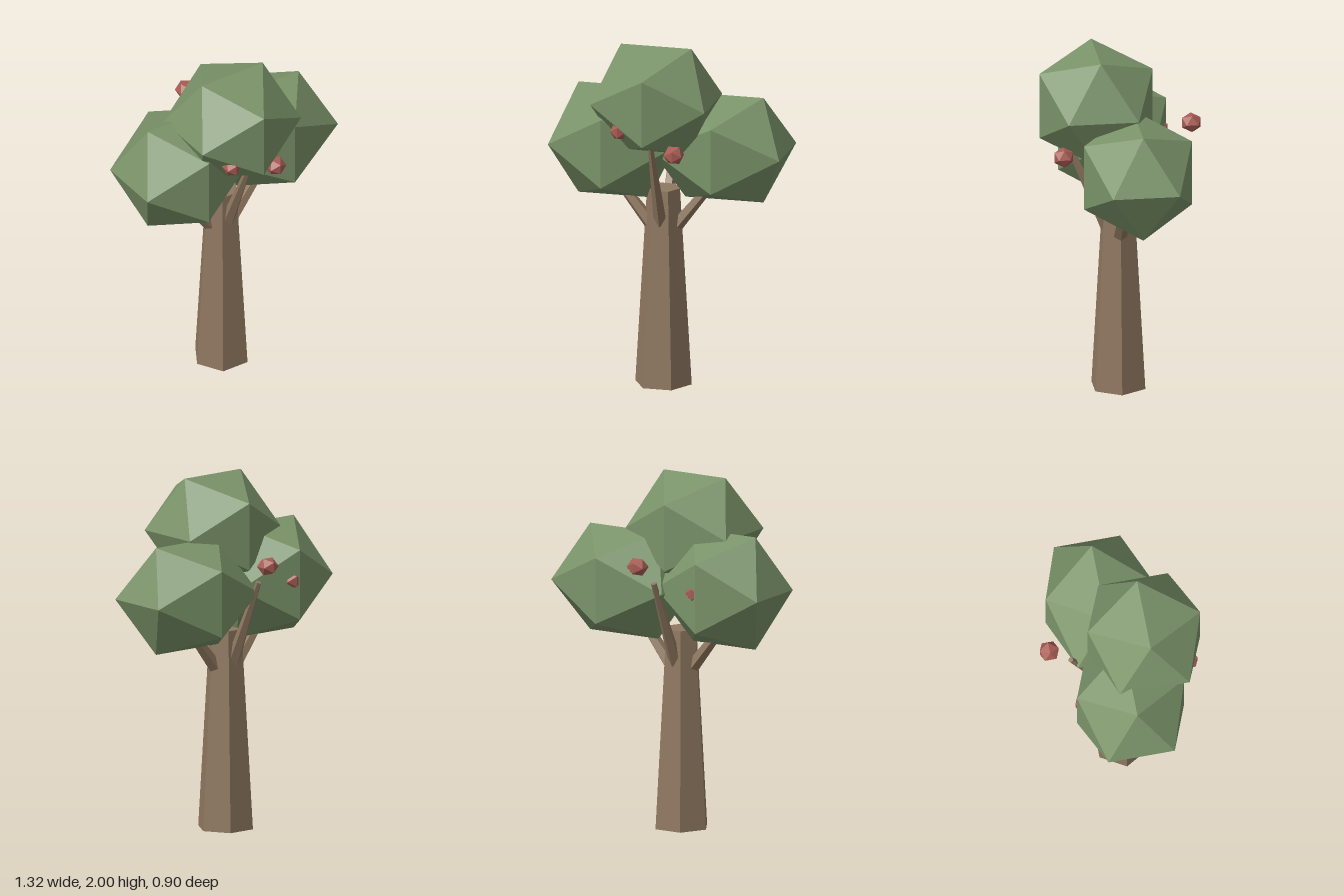
import * as THREE from 'three';

const material = (name, color) => {
  const m = new THREE.MeshStandardMaterial({ color, flatShading: true });
  m.name = name;
  return m;
};

export function createModel() {
  const bark = material('bark brown', 0x8f7860);
  const leaf = material('leaf green', 0x7a9369);
  const berry = material('fruit red', 0xa85c54);
  const tree = new THREE.Group();
  tree.name = 'tree';

  const add = (name, geometry, mat, parent = tree) => {
    const mesh = new THREE.Mesh(geometry, mat);
    mesh.name = name;
    parent.add(mesh);
    return mesh;
  };

  // Trunk and branches share an axis slightly off centre
  const wood = new THREE.Group();
  wood.name = 'wood';
  wood.position.set(-0.04, 0, 0.005);
  tree.add(wood);

  const trunk = add('trunk', new THREE.CylinderGeometry(0.095, 0.163, 1.14, 6), bark, wood);
  trunk.position.y = 0.57;
  trunk.rotation.y = Math.PI / 6;

  // Tapered branch leaning outwards: start and tip are [distance from axis, height]
  const branch = (name, turn, start, tip) => {
    const out = tip[0] - start[0], up = tip[1] - start[1];
    const pivot = new THREE.Group();
    pivot.name = name;
    pivot.rotation.y = turn;
    wood.add(pivot);
    const geometry = new THREE.CylinderGeometry(0.016, 0.04, Math.hypot(out, up), 5);
    const limb = add(name + 'Limb', geometry, bark, pivot);
    limb.position.set(0, (start[1] + tip[1]) / 2, (start[0] + tip[0]) / 2);
    limb.rotation.x = Math.atan2(out, up);
  };
  branch('frontBranch', 0, [0.06, 0.95], [0.28, 1.45]);
  branch('backBranch', Math.PI, [0.06, 0.95], [0.29, 1.45]);
  branch('leftBranch', Math.PI / 2, [0.078, 0.93], [0.42, 1.36]);
  branch('rightBranch', -Math.PI / 2, [0.078, 0.93], [0.42, 1.36]);

  // Faceted balls for leaves and fruit: name, centre, radii
  const ball = (mat) => ([name, centre, radii]) => {
    const mesh = add(name, new THREE.IcosahedronGeometry(1, 0), mat);
    mesh.position.set(...centre);
    mesh.scale.set(...radii);
  };
  [
    ['topCrown', [-0.05, 1.69, 0.13], [0.388, 0.364, 0.376]],
    ['rightCrown', [-0.325, 1.397, 0.002], [0.394, 0.379, 0.358]],
    ['leftCrown', [0.295, 1.38, -0.06], [0.429, 0.359, 0.358]],
  ].forEach(ball(leaf));
  [
    ['frontLeftFruit', [0.105, 1.435, 0.333], [0.06, 0.057, 0.062]],
    ['frontRightFruit', [-0.205, 1.56, 0.355], [0.052, 0.055, 0.058]],
    ['backFruit', [-0.008, 1.565, -0.402], [0.062, 0.055, 0.062]],
    ['backRightFruit', [-0.3, 1.42, -0.255], [0.06, 0.056, 0.06]],
  ].forEach(ball(berry));

  return tree;
}
